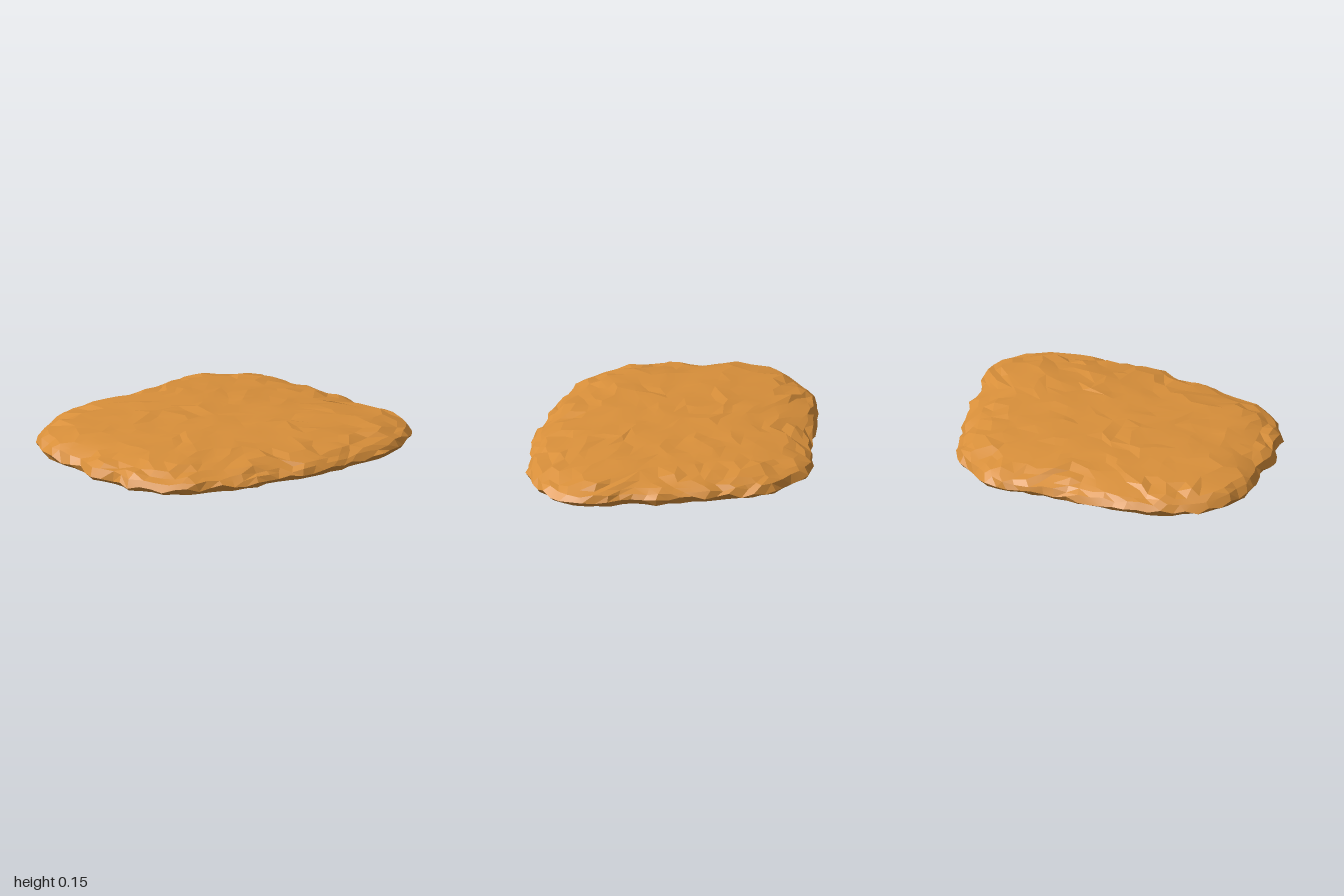
import * as THREE from 'three';
import { toCreasedNormals } from 'three/addons/utils/BufferGeometryUtils.js';

// Footprint of the slab as x, z pairs, running from +x towards +z
const OUTLINE = [
  0.88, 0.07, 0.95, 0.17, 1.0, 0.36, 0.96, 0.5, 0.84, 0.62, 0.68, 0.72, 0.5, 0.74,
  0.32, 0.78, 0.14, 0.805, 0, 0.775, -0.13, 0.795, -0.32, 0.775, -0.42, 0.74, -0.52, 0.74,
  -0.69, 0.66, -0.76, 0.56, -0.84, 0.5, -0.84, 0.4, -0.93, 0.27, -0.92, 0.15, -0.96, 0.02,
  -1.0, -0.1, -0.98, -0.27, -0.95, -0.35, -0.88, -0.46, -0.8, -0.52, -0.71, -0.59, -0.55, -0.65,
  -0.33, -0.695, -0.17, -0.715, 0, -0.74, 0.06, -0.77, 0.2, -0.805, 0.33, -0.8, 0.42, -0.73,
  0.54, -0.68, 0.62, -0.61, 0.67, -0.5, 0.72, -0.38, 0.78, -0.3, 0.8, -0.2, 0.87, -0.07,
];
const SECTORS = 7;

// Ring positions (0 centre, 1 rim) and the height of each ring
const RINGS = [0, 0.1, 0.2, 0.3, 0.4, 0.5, 0.6, 0.7, 0.79, 0.87, 0.93, 0.97, 1];
const HEIGHTS = [0.142, 0.142, 0.141, 0.139, 0.137, 0.133, 0.127, 0.118, 0.107, 0.091, 0.072, 0.052, 0.028];

function makeRandom(seed) {
  return () => {
    seed = (seed * 16807) % 2147483647;
    return seed / 2147483647;
  };
}

function buildShell() {
  const random = makeRandom(4711);
  const jitter = (size) => (random() - 0.5) * 2 * size;
  const corners = [];
  for (let i = 0; i < OUTLINE.length; i += 2) corners.push(new THREE.Vector2(OUTLINE[i], OUTLINE[i + 1]));
  const outline = new THREE.Path(corners);
  outline.closePath();
  const positions = [];
  const index = [];
  const last = RINGS.length - 1;
  const rimCount = SECTORS * last;

  const addPoint = (x, y, z) => positions.push(x, y, z) / 3 - 1;

  // Domed top: concentric rings, fuller towards both ends and dipping to +x
  const rings = RINGS.map((t, k) => {
    const n = Math.max(1, SECTORS * k);
    const move = k === last ? 0 : k > 9 ? 0.009 : 0.024;
    const bump = k === last ? 0.016 : k > 7 ? 0.01 : 0.007;
    return Array.from({ length: n }, (_, i) => {
      const p = outline.getPoint(i / n);
      const s = k === last && i % 2 ? 1 - random() * 0.015 : t;
      const x = p.x * s + jitter(move);
      const z = p.y * s + jitter(move);
      const lift = k === last ? 0 : 0.018 * x * x - 0.005 * x;
      return addPoint(x, HEIGHTS[k] + lift + jitter(bump), z);
    });
  });
  for (let k = 1; k <= last; k++) {
    const outer = rings[k];
    const inner = rings[k - 1];
    for (let s = 0; s < SECTORS; s++) {
      for (let i = 0; i < k; i++) {
        const a = outer[s * k + i];
        const b = outer[(s * k + i + 1) % outer.length];
        const c = inner[(s * (k - 1) + i) % inner.length];
        index.push(c, b, a);
        if (i < k - 1) index.push(c, inner[(s * (k - 1) + i + 1) % inner.length], b);
      }
    }
  }

  // Short lip that turns under the rim and ends flat on the ground
  const rim = rings[last];
  const lip = rim.map((id) => {
    const s = 0.985 - random() * 0.025;
    return addPoint(positions[id * 3] * s, 0, positions[id * 3 + 2] * s);
  });
  for (let i = 0; i < rimCount; i++) {
    const j = (i + 1) % rimCount;
    index.push(rim[i], rim[j], lip[i], rim[j], lip[j], lip[i]);
  }

  const geometry = new THREE.BufferGeometry();
  geometry.setAttribute('position', new THREE.Float32BufferAttribute(positions, 3));
  geometry.setIndex(index);
  return toCreasedNormals(geometry, 0.16);
}

export function createModel() {
  const group = new THREE.Group();
  group.name = 'flatStone';
  // The shell is open underneath, so its inside shows too
  const ochre = new THREE.MeshStandardMaterial({ color: 0xd88f3a, side: THREE.DoubleSide });
  ochre.name = 'ochre';
  const shell = new THREE.Mesh(buildShell(), ochre);
  shell.name = 'shell';
  group.add(shell);
  return group;
}
